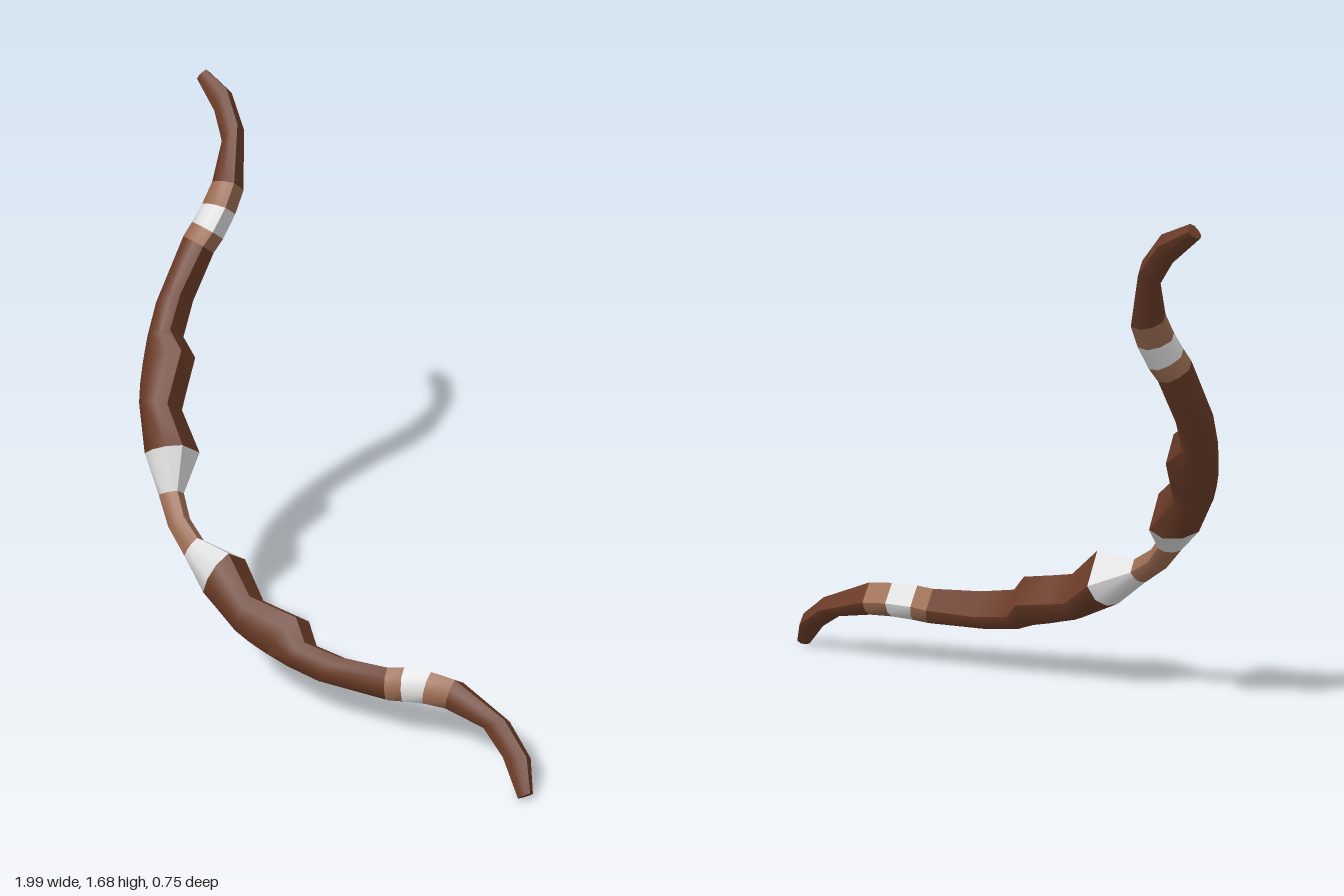
import * as THREE from 'three';
import { toCreasedNormals } from 'three/addons/utils/BufferGeometryUtils.js';

const mat = (name, color) => {
  const m = new THREE.MeshStandardMaterial({ color });
  m.name = name;
  return m;
};

// Bow frame: along the string line, towards the back of the bow, and across the limb
const ALONG = new THREE.Vector3(-0.757, 0.637, -0.158).normalize();
const BACK = new THREE.Vector3(-0.54, -0.53, 0.66).normalize();
const ACROSS = new THREE.Vector3().crossVectors(ALONG, BACK).normalize();
const MID = new THREE.Vector3(0, 0.845, -0.125);

// Stations from tip to grip: belly (along, back), back (along, back), half width
const LIMB = [
  [1.297, -0.025, 1.291, 0.018, 0.02],
  [1.197, -0.062, 1.159, 0.008, 0.03],
  [1.066, -0.048, 1.053, 0.026, 0.036],
  [0.889, 0.038, 0.945, 0.109, 0.054],
  [0.831, 0.097, 0.897, 0.168, 0.055],
  [0.779, 0.168, 0.86, 0.224, 0.057],
  [0.754, 0.216, 0.832, 0.27, 0.058],
  [0.65, 0.345, 0.68, 0.442, 0.068],
  [0.56, 0.424, 0.592, 0.514, 0.072],
  [0.478, 0.416, 0.525, 0.56, 0.075],
  [0.4, 0.482, 0.465, 0.597, 0.076],
  [0.346, 0.527, 0.41, 0.625, 0.078],
  [0.194, 0.532, 0.25, 0.672, 0.092],
  [0.085, 0.62, 0.11, 0.688, 0.034],
];
const GRIP = [0, 0.634, 0, 0.7, 0.033];
const mirrored = LIMB.map(([a, b, c, d, w]) => [-a, b, -c, d, w]).reverse();
const STATIONS = [...LIMB, GRIP, ...mirrored];

// Rounded section: depth from belly to back, share of the half width
const half = [[0, 0.8], [0.33, 1], [0.7, 0.78], [1, 0.3]];
const SECTION = [...half, ...half.map(([t, s]) => [t, -s]).reverse()];

function ring([a0, b0, a1, b1, w]) {
  return SECTION.map(([t, s]) => MID.clone()
    .addScaledVector(ALONG, a0 + (a1 - a0) * t)
    .addScaledVector(BACK, b0 + (b1 - b0) * t)
    .addScaledVector(ACROSS, s * w));
}

// Skin the stations from first to last, closing the bow's two ends
function skin(first, last) {
  const n = SECTION.length;
  const pos = [];
  const index = [];
  for (let i = first; i <= last; i++) {
    for (const p of ring(STATIONS[i])) pos.push(p.x, p.y, p.z);
  }
  const rows = last - first;
  for (let i = 0; i < rows; i++) {
    for (let j = 0; j < n; j++) {
      const k = (j + 1) % n;
      const p = i * n + j, q = i * n + k;
      index.push(p, q, p + n, q, q + n, p + n);
    }
  }
  for (let j = 1; j < n - 1; j++) {
    if (first === 0) index.push(0, j + 1, j);
    if (last === STATIONS.length - 1) index.push(rows * n, rows * n + j, rows * n + j + 1);
  }
  const g = new THREE.BufferGeometry();
  g.setAttribute('position', new THREE.Float32BufferAttribute(pos, 3));
  g.setIndex(index);
  return toCreasedNormals(g, 0.9);
}

export function createModel() {
  const wood = mat('darkWood', 0x6a3b27);
  const leather = mat('tanLeather', 0x9c6d53);
  const metal = mat('paleMetal', 0xdedede);

  const bow = new THREE.Group();
  bow.name = 'bow';
  const add = (name, first, last, material) => {
    const mesh = new THREE.Mesh(skin(first, last), material);
    mesh.name = name;
    bow.add(mesh);
  };

  // Limb parts, repeated for the upper and lower limb
  const parts = [
    ['Tip', 0, 3, wood],
    ['OuterBinding', 3, 4, leather],
    ['MetalBand', 4, 5, metal],
    ['InnerBinding', 5, 6, leather],
    ['Limb', 6, 12, wood],
    ['GripCollar', 12, 13, metal],
  ];
  const end = STATIONS.length - 1;
  for (const [name, i, j, material] of parts) {
    add('upper' + name, i, j, material);
    add('lower' + name, end - j, end - i, material);
  }

  // Grip between the two collars
  add('grip', 13, end - 13, leather);
  return bow;
}
